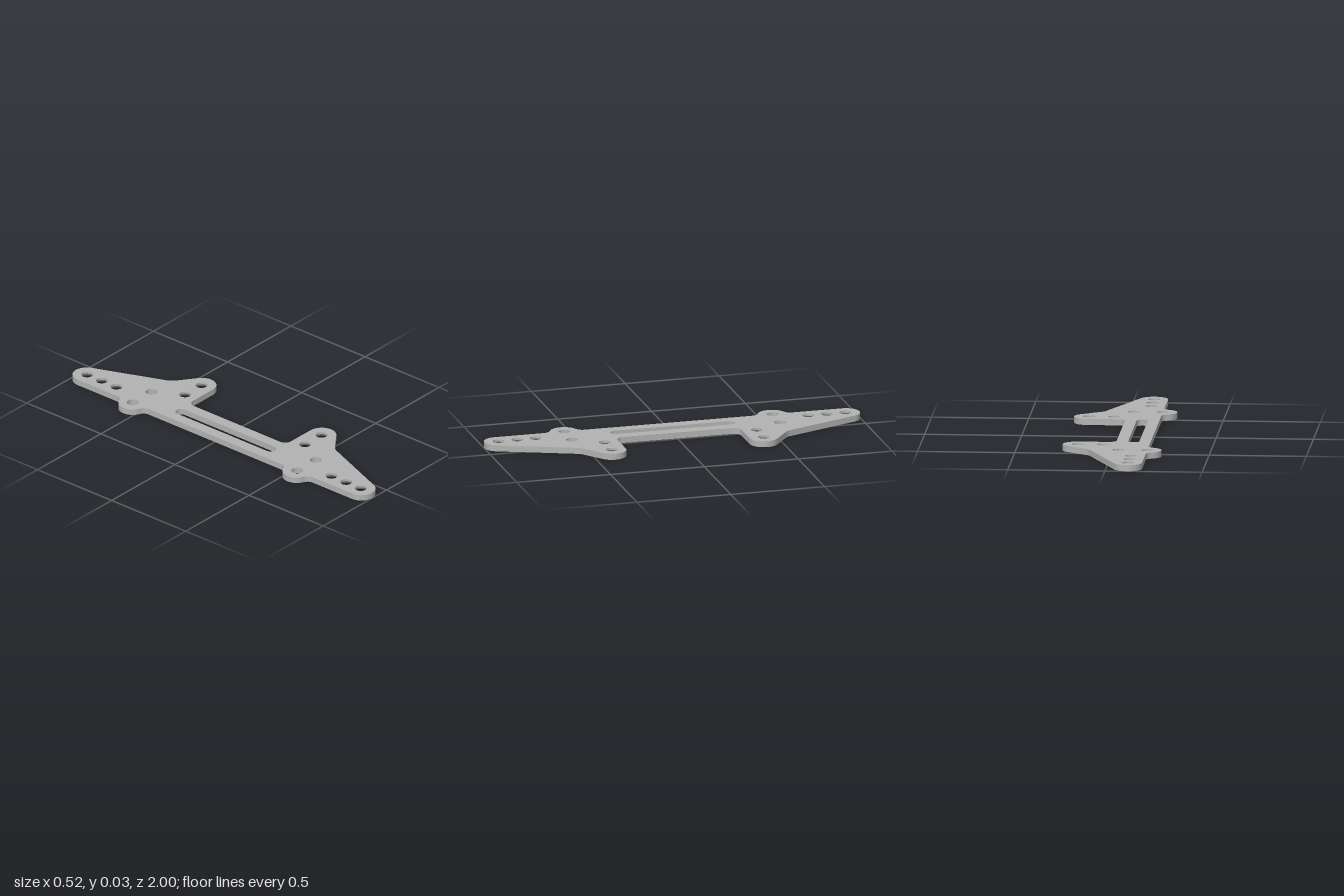
import * as THREE from 'three';
import { toCreasedNormals } from 'three/addons/utils/BufferGeometryUtils.js';

const T = 0.032;      // plate thickness
const SINK = 0.02;    // countersink depth, from below
const R = 0.03;       // hole radius
const R_SINK = 0.049; // countersink radius on the underside
const SEG = 32;
const rad = THREE.MathUtils.degToRad;

// Holes of one end, [x, z]; the other end mirrors them in z
const sunkHoles = [[-0.113, 0.924], [-0.113, 0.825], [-0.113, 0.726], [0.053, 0.405], [0.183, 0.405]];
const plainHoles = [[-0.185, 0.555], [-0.037, 0.555]];
const bothEnds = list => list.flatMap(([x, z]) => [[x, z], [x, -z]]);

// Outline of one end, from the right edge of the bar round to its left edge
function outlinePoints() {
  const p = new THREE.Path();
  p.moveTo(-0.01, 0);
  p.absarc(0.03, 0.29, 0.04, Math.PI, Math.PI / 2, true);          // inner fillet
  p.absarc(0.185, 0.405, 0.075, -Math.PI / 2, rad(53.1), false);   // arm tip
  p.lineTo(0.135, 0.536);
  p.quadraticCurveTo(0.115, 0.551, 0.107, 0.57);                   // arm corner
  p.absarc(-0.113, 0.927, 0.073, rad(21.6), Math.PI, false);       // end tip
  p.absarc(-0.226, 0.6617, 0.04, 0, rad(-69.6), true);             // lobe fillet
  p.absarc(-0.186, 0.554, 0.074, rad(110.4), rad(249.6), false);   // side lobe
  p.absarc(-0.226, 0.4463, 0.04, rad(69.6), 0, true);              // lobe fillet
  const half = p.getPoints(12).slice(1);
  const mirrored = half.map(v => new THREE.Vector2(v.x, -v.y)).reverse();
  return [...half, ...mirrored];
}

// Slot along the bar, clockwise
function slotPoints() {
  const p = new THREE.Path();
  p.absarc(-0.098, 0.302, 0.029, Math.PI, 0, true);
  p.absarc(-0.098, -0.302, 0.029, 0, -Math.PI, true);
  return p.getPoints(10);
}

function circlePoints(x, y, r) {
  return Array.from({ length: SEG }, (_, i) => {
    const a = -i / SEG * Math.PI * 2;
    return new THREE.Vector2(x + r * Math.cos(a), y + r * Math.sin(a));
  });
}

// Flat face of the plate with holes of the given countersink radius
function faceGeometry(outline, slot, sunkRadius) {
  const shape = new THREE.Shape(outline);
  shape.holes.push(new THREE.Path(slot));
  for (const [x, z] of bothEnds(sunkHoles)) shape.holes.push(new THREE.Path(circlePoints(x, z, sunkRadius)));
  for (const [x, z] of bothEnds(plainHoles)) shape.holes.push(new THREE.Path(circlePoints(x, z, R)));
  return new THREE.ShapeGeometry(shape);
}

// Upright wall along a closed loop
function wallGeometry(loop) {
  const pos = [];
  loop.forEach((a, i) => {
    const b = loop[(i + 1) % loop.length];
    if (a.distanceTo(b) < 1e-6) return;
    pos.push(a.x, a.y, 0, b.x, b.y, 0, b.x, b.y, T);
    pos.push(a.x, a.y, 0, b.x, b.y, T, a.x, a.y, T);
  });
  const g = new THREE.BufferGeometry();
  g.setAttribute('position', new THREE.Float32BufferAttribute(pos, 3));
  return toCreasedNormals(g.rotateX(-Math.PI / 2), rad(30));
}

// Inward-facing ring, listed from top to bottom
function boreGeometry(r1, y1, r0, y0) {
  return new THREE.LatheGeometry([new THREE.Vector2(r1, y1), new THREE.Vector2(r0, y0)], SEG);
}

export function createModel() {
  const group = new THREE.Group();
  group.name = 'mountingPlate';
  const grey = new THREE.MeshStandardMaterial({ color: 0xb3b3b3 });
  grey.name = 'grey';
  const add = (name, geometry, x = 0, y = 0, z = 0) => {
    const mesh = new THREE.Mesh(geometry, grey);
    mesh.name = name;
    mesh.position.set(x, y, z);
    group.add(mesh);
  };

  const outline = outlinePoints();
  const slot = slotPoints();
  add('topFace', faceGeometry(outline, slot, R).rotateX(-Math.PI / 2), 0, T, 0);
  add('bottomFace', faceGeometry(outline, slot, R_SINK).rotateX(Math.PI / 2));
  add('outerEdge', wallGeometry(outline));
  add('slotEdge', wallGeometry(slot));

  // Plain holes run straight through
  const plain = boreGeometry(R, T, R, 0);
  for (const [x, z] of bothEnds(plainHoles)) add('plainHole', plain, x, 0, z);

  // Countersunk holes widen towards the underside
  const neck = boreGeometry(R, T, R, SINK);
  const cone = boreGeometry(R, SINK, R_SINK, 0);
  for (const [x, z] of bothEnds(sunkHoles)) {
    add('screwHole', neck, x, 0, z);
    add('countersink', cone, x, 0, z);
  }
  return group;
}
